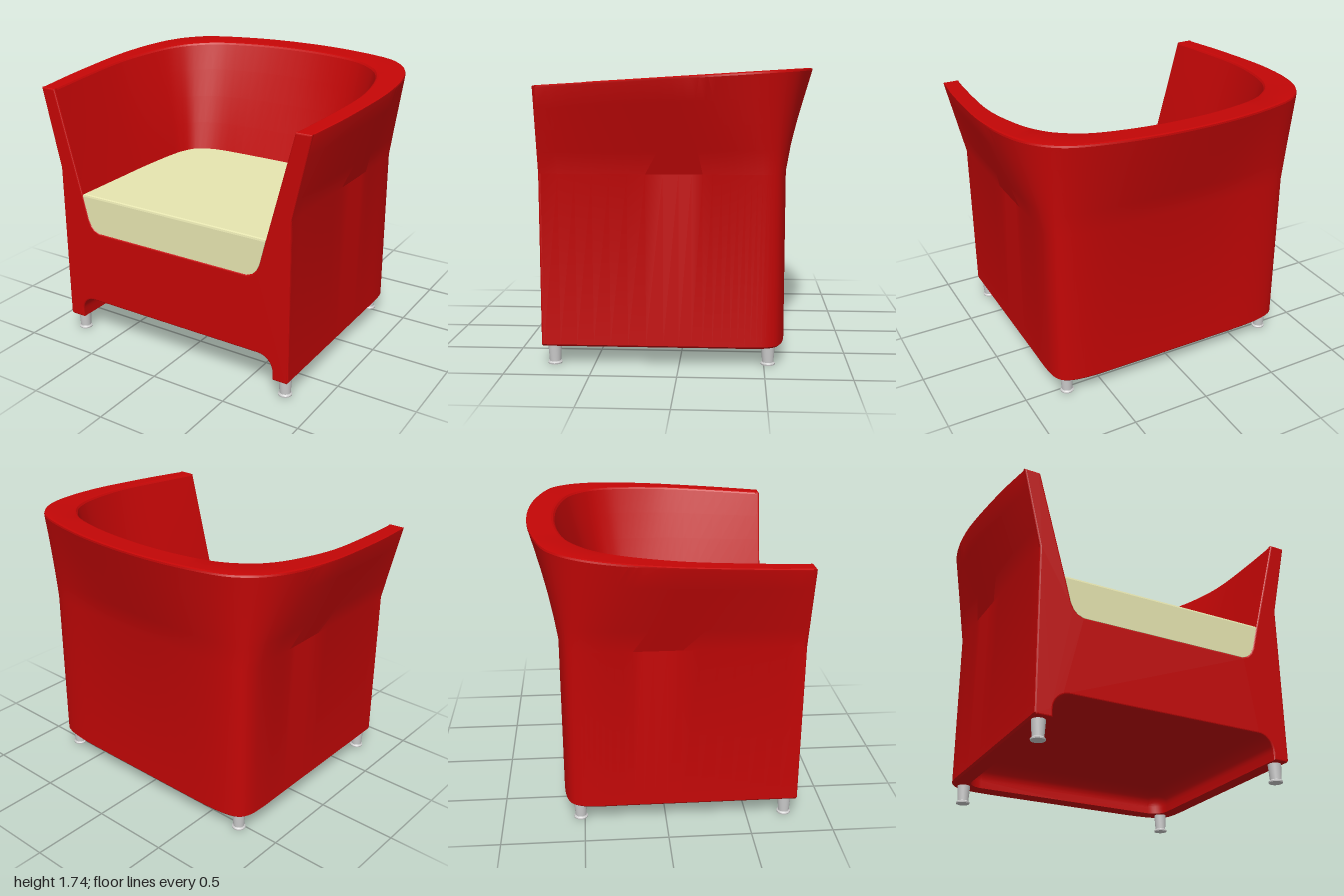
import * as THREE from 'three';
import { toCreasedNormals } from 'three/addons/utils/BufferGeometryUtils.js';

const FLOOR = 0.115, FLARE = 1.14, SEAT = 0.995, FRONT = 0.81, BACK_Z = 0.795, RECESS_Z = -0.51;
const V = (x, y, z) => new THREE.Vector3(x, y, z);
const topY = (z) => 1.695 - z * 0.0617;

// Half plan outlines, from the left front round to the middle of the back: [x, z]
const PLAN = {
  outerBase: [[.825, BACK_Z], [.825, .4], [.825, 0], [.825, -.25], [.825, -.42], [.81, -.53], [.755, -.592], [.6, -.622], [.3, -.626], [0, -.626]],
  outerTop: [[.94, BACK_Z], [.975, .5], [.998, .1], [.992, -.12], [.965, -.31], [.91, -.48], [.815, -.615], [.665, -.71], [.34, -.788], [0, -.812]],
  innerTop: [[.84, BACK_Z], [.865, .5], [.88, .2], [.866, 0], [.82, -.215], [.765, -.35], [.685, -.455], [.53, -.56], [.27, -.622], [0, -.64]],
  innerSeat: [[.667, BACK_Z], [.672, .4], [.675, .2], [.67, 0], [.66, -.14], [.645, -.225], [.595, -.325], [.46, -.385], [.25, -.398], [0, -.4]],
};

// Mirrors a half plan and smooths it into a U; yOf gives the height at each z
function planLoop(half, yOf) {
  const full = [...half, ...half.slice(0, -1).reverse().map(([x, z]) => [-x, z])];
  const curve = new THREE.CatmullRomCurve3(full.map(([x, z]) => V(x, 0, z)), false, 'catmullrom', 0.5);
  const n = 72;
  return Array.from({ length: n + 1 }, (_, i) => {
    const p = curve.getPoint(i / n);
    return p.setY(yOf(p.z));
  });
}

const blend = (a, b, t) => a.map((p, i) => p.clone().lerp(b[i], t));

// Skins a list of equally long rows of points
function loft(rows, crease) {
  const n = rows[0].length, index = [];
  for (let r = 0; r < rows.length - 1; r++) {
    for (let c = 0; c < n - 1; c++) {
      const a = r * n + c, b = a + 1, d = a + n, e = d + 1;
      index.push(a, b, e, a, e, d);
    }
  }
  const g = new THREE.BufferGeometry().setFromPoints(rows.flat());
  g.setIndex(index);
  return toCreasedNormals(g, crease);
}

// Arched outline of the hollow under the seat, left to right
function arch(inset, z) {
  const w = 0.72 - inset, top = 0.265 - inset, r = Math.max(0.1 - inset, 0.001);
  const half = [V(w, FLOOR, z)];
  for (let i = 0; i <= 8; i++) {
    const a = (i / 8) * Math.PI / 2;
    half.push(V(w - r + r * Math.cos(a), top - r + r * Math.sin(a), z));
  }
  return [...half, ...half.slice().reverse().map((p) => V(-p.x, p.y, z))];
}

export function createModel() {
  const group = new THREE.Group();
  const red = new THREE.MeshStandardMaterial({ color: 0xc40606, side: THREE.DoubleSide });
  const cream = new THREE.MeshStandardMaterial({ color: 0xe6e5b0 });
  const grey = new THREE.MeshStandardMaterial({ color: 0xcccccc });
  const add = (name, geometry, material) => {
    const mesh = new THREE.Mesh(geometry, material);
    mesh.name = name;
    group.add(mesh);
    return mesh;
  };

  // Tub shell: straight base, flared upper wall, rounded rim, sloping inside
  const base = planLoop(PLAN.outerBase, () => FLOOR);
  const atHeight = (loop, y) => loop.map((p) => V(p.x, y, p.z));
  const waist = atHeight(base, FLARE);
  const outer = planLoop(PLAN.outerTop, topY);
  const inner = planLoop(PLAN.innerTop, topY);
  const seat = planLoop(PLAN.innerSeat, () => SEAT);
  const lower = (loop, d) => loop.map((p) => V(p.x, p.y - d, p.z));
  const foot = base.map((p) => V(p.x * 0.985, p.y, p.z < 0 ? p.z * 0.985 : p.z));
  const rows = [foot, atHeight(base, FLOOR + 0.012), waist];
  for (const t of [0.25, 0.5, 0.75, 0.975]) rows.push(blend(waist, outer, t));
  rows.push(lower(blend(outer, inner, 0.03), 0.004), blend(outer, inner, 0.1));
  rows.push(blend(outer, inner, 0.9), lower(blend(outer, inner, 0.97), 0.004));
  for (const t of [0.02, 0.25, 0.5, 0.75, 1.04]) rows.push(blend(inner, seat, t));
  add('shell', loft(rows, 0.3), red);

  // Cushion levels: height and sideways shrink
  const levels = [[.75, .9], [.765, .955], [.79, .985], [.83, 1], [.98, 1], [.991, .995], [SEAT, .982]];
  const wallAt = (y) => blend(seat, inner, (y - SEAT) / 0.68);

  // Front frame: bevelled slab with the seat opening and the arched hollow
  const half = [[.815, FLOOR], [.825, FLOOR + .012], [.825, FLARE], [.94, 1.645], [.84, 1.645], [.667, SEAT]];
  for (const [y, s] of levels.slice(0, 4).reverse()) half.push([wallAt(y)[0].x * s, y]);
  const outline = [
    ...half,
    ...half.slice().reverse().map(([x, y]) => [-x, y]),
    ...arch(0, 0).reverse().map((p) => [p.x, p.y]),
  ].map(([x, y]) => new THREE.Vector2(x, y));
  const frame = new THREE.ExtrudeGeometry(new THREE.Shape(outline), {
    depth: 0.01, bevelThickness: 0.01, bevelSize: 0.01, bevelOffset: -0.01, bevelSegments: 3,
  });
  frame.translate(0, 0, FRONT - 0.02);
  add('frontFrame', toCreasedNormals(frame, 0.2), red);

  // Hollow underneath, open at the front and coved at the sides and back
  const hollow = [arch(0, FRONT - 0.01)];
  const cut = [[.72, BACK_Z]];
  for (let i = 0; i <= 8; i++) {
    const a = (i / 8) * Math.PI / 2;
    const inset = 0.1 * (1 - Math.cos(a)), z = RECESS_Z + 0.1 - 0.1 * Math.sin(a);
    hollow.push(arch(inset, z));
    cut.push([0.72 - inset, z]);
  }
  hollow.push(hollow[0].map(() => V(0, FLOOR, RECESS_Z)));
  add('underHollow', loft(hollow, 0.6), red);

  // Bottom edge of the walls around the hollow
  const under = new THREE.Shape([
    ...foot.map((p) => [p.x, p.z]),
    ...cut.map(([x, z]) => [-x, z]),
    ...cut.slice().reverse(),
  ].map(([x, z]) => new THREE.Vector2(x, z)));
  const underside = new THREE.ShapeGeometry(under).rotateX(Math.PI / 2);
  underside.translate(0, FLOOR, 0);
  add('bottomEdge', underside, red);

  // Seat cushion, filling the tub flush with the front
  const ring = levels.map(([y, s]) => {
    const loop = wallAt(y).map((p) => V(p.x * s, y, p.z));
    const front = FRONT - 0.003 - (y === SEAT ? 0.012 : y > 0.985 ? 0.003 : 0);
    loop[0].z = loop[loop.length - 1].z = front;
    return [...loop, loop[0].clone()];
  });
  const middle = (y) => ring[0].map(() => V(0, y, 0.2));
  add('seatCushion', loft([middle(levels[0][0]), ...ring, middle(SEAT)], 0.25), cream);

  // Tapered legs with a small flared foot
  const profile = [[0, 0], [.042, 0], [.043, .008], [.034, .016], [.041, .125], [0, .125]]
    .map(([x, y]) => new THREE.Vector2(x, y));
  const legGeometry = toCreasedNormals(new THREE.LatheGeometry(profile, 20), 0.6);
  for (const side of [1, -1]) {
    const name = side > 0 ? 'Left' : 'Right';
    add('front' + name + 'Leg', legGeometry, grey).position.set(side * 0.772, 0, 0.74);
    add('back' + name + 'Leg', legGeometry, grey).position.set(side * 0.732, 0, -0.525);
  }
  return group;
}
